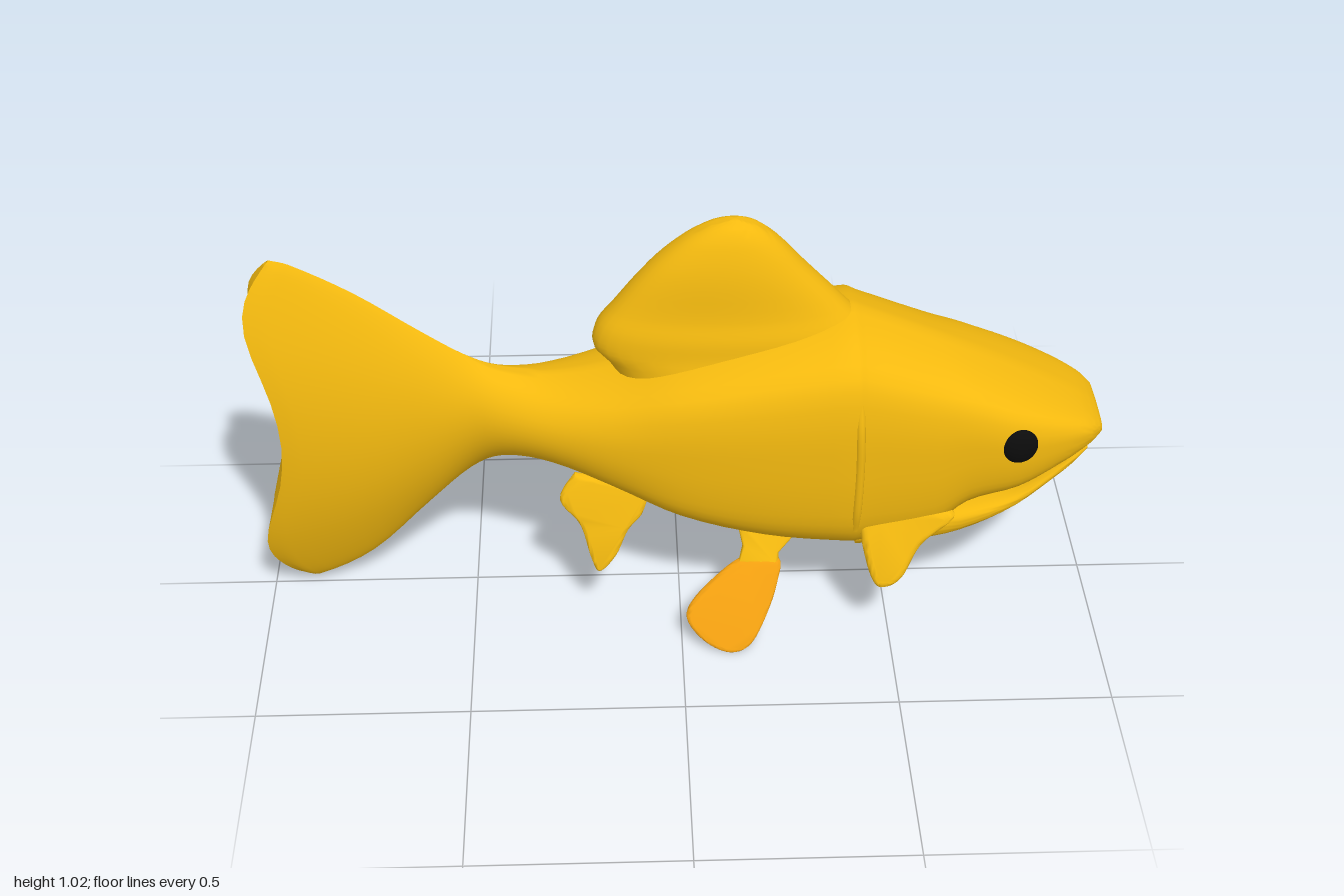
import * as THREE from 'three';
import { mergeVertices, toCreasedNormals } from 'three/addons/utils/BufferGeometryUtils.js';

const material = (color) => new THREE.MeshStandardMaterial({ color, side: THREE.DoubleSide });
const gold = material(0xf3b90f);
const orange = material(0xf2a010);
const black = material(0x0c0c0c);

function addMesh(parent, name, geometry, mat = gold) {
  const mesh = new THREE.Mesh(geometry, mat);
  mesh.name = name;
  parent.add(mesh);
  return mesh;
}

// Smooth interpolation of table rows [key, a, b, ...] at the given key
function sample(rows, x) {
  let i = 0;
  while (i < rows.length - 2 && x > rows[i + 1][0]) i++;
  const at = (n) => rows[Math.min(Math.max(n, 0), rows.length - 1)];
  const [p, a, b, q] = [at(i - 1), at(i), at(i + 1), at(i + 2)];
  const d = b[0] - a[0], t = (x - a[0]) / d;
  return a.map((v, n) => {
    if (n === 0) return x;
    const m0 = (b[n] - p[n]) / (b[0] - p[0]) * d;
    const m1 = (q[n] - a[n]) / (q[0] - a[0]) * d;
    return THREE.MathUtils.lerp(v, b[n], t * t * (3 - 2 * t))
      + t * (1 - t) * ((1 - t) * m0 - t * m1);
  });
}

// Every table row plus evenly spaced rows between neighbours
function refine(rows, steps) {
  const out = [];
  for (let i = 0; i < rows.length - 1; i++)
    for (let s = 0; s < steps; s++)
      out.push(sample(rows, THREE.MathUtils.lerp(rows[i][0], rows[i + 1][0], s / steps)));
  out.push(rows[rows.length - 1]);
  return out;
}

// Skin a list of closed rings and cap both ends around the given centres
function loft(rings, startCentre, endCentre, crease = 0.9) {
  const n = rings[0].length, last = (rings.length - 1) * n;
  const pos = [...rings.flat(), startCentre, endCentre].flat();
  const start = rings.length * n, end = start + 1, index = [];
  for (let j = 0; j < n; j++) {
    const k = (j + 1) % n;
    for (let i = 0; i < last; i += n)
      index.push(i + j, i + n + j, i + k, i + k, i + n + j, i + n + k);
    index.push(start, j, k, end, last + k, last + j);
  }
  const g = new THREE.BufferGeometry();
  g.setAttribute('position', new THREE.Float32BufferAttribute(pos, 3));
  g.setIndex(index);
  return toCreasedNormals(g, crease);
}

// Half cross-section, keel to back: (width fraction, height from -1 to 1)
const profile = new THREE.SplineCurve([
  [0, -1], [0.4, -0.95], [0.72, -0.87], [0.91, -0.68], [0.98, -0.38], [1, 0],
  [0.98, 0.4], [0.85, 0.74], [0.46, 0.92], [0, 1],
].map(([x, y]) => new THREE.Vector2(x, y))).getPoints(27);

// Ring at x; lens blends the boxy section to a lens, and bow curves the tail edge
function section([x, top, bottom, width, lens = 0, bow = 0]) {
  const half = profile.map((p) => {
    const h = THREE.MathUtils.clamp(p.y, -1, 1);
    const z = width * THREE.MathUtils.lerp(p.x, Math.pow(1 - h * h, 0.8), lens);
    const dx = -0.065 * bow * Math.sin(Math.PI * h * h);
    return [x + dx, (top + bottom) / 2 + h * (top - bottom) / 2, z];
  });
  return [...half, ...half.slice(1, -1).reverse().map(([px, y, z]) => [px, y, -z])];
}

// Flat fin with rounded edges that leans outward as it drops
function fin(points, thickness, topY, topZ, lean, curved = true) {
  const v = points.map(([x, y]) => new THREE.Vector2(x, y));
  const shape = new THREE.Shape(curved ? new THREE.SplineCurve([...v, v[0]]).getPoints(48).slice(0, -1) : v);
  let g = new THREE.ExtrudeGeometry(shape, {
    depth: 0.002, bevelEnabled: true, bevelThickness: thickness / 2,
    bevelSize: thickness / 2, bevelOffset: -thickness / 2, bevelSegments: 4,
  });
  const p = g.attributes.position;
  for (let i = 0; i < p.count; i++)
    p.setZ(i, p.getZ(i) + topZ + (topY - p.getY(i)) * lean);
  g.deleteAttribute('uv');
  g.deleteAttribute('normal');
  return toCreasedNormals(mergeVertices(g, 1e-4), 0.9);
}

export function createModel() {
  const fish = new THREE.Group();
  fish.name = 'fish';

  // Body and tail in one skin: x, top, bottom, half width, lens, bow
  const body = [
    [-0.935, 0.935, 0.035, 0.105, 1, 1], [-0.89, 0.922, 0.026, 0.106, 1, 0.8],
    [-0.75, 0.843, 0.1, 0.095, 1, 0.3], [-0.6, 0.735, 0.25, 0.075, 1, 0],
    [-0.5, 0.668, 0.345, 0.068, 1, 0], [-0.42, 0.633, 0.385, 0.088, 0.85, 0],
    [-0.3, 0.618, 0.388, 0.13, 0.5, 0], [-0.15, 0.645, 0.34, 0.18, 0.2, 0],
    [0, 0.7, 0.275, 0.215, 0, 0], [0.2, 0.755, 0.215, 0.234, 0, 0],
    [0.4, 0.79, 0.187, 0.235, 0, 0], [0.43, 0.78, 0.187, 0.227, 0, 0],
    [0.6, 0.71, 0.225, 0.21, 0, 0], [0.68, 0.675, 0.3, 0.205, 0, 0],
    [0.8, 0.62, 0.345, 0.195, 0, 0], [0.9, 0.57, 0.405, 0.165, 0, 0],
    [0.97, 0.53, 0.45, 0.128, 0, 0], [1, 0.505, 0.47, 0.095, 0, 0],
  ];
  addMesh(fish, 'body', loft(refine(body, 4).map(section), [-0.93, 0.48, 0], [1, 0.488, 0]));

  // Lower jaw, set just inside the upper lip
  const jaw = [
    [0.42, 0.3, 0.189, 0.17], [0.6, 0.32, 0.223, 0.19], [0.7, 0.33, 0.255, 0.183],
    [0.8, 0.35, 0.303, 0.162], [0.88, 0.4, 0.36, 0.142], [0.93, 0.44, 0.4, 0.13],
    [0.965, 0.462, 0.44, 0.118],
  ];
  addMesh(fish, 'lowerJaw', loft(refine(jaw, 3).map(section), [0.42, 0.245, 0], [0.965, 0.451, 0]));

  // Thick back fin stacked upward: y, rear x, front x, half width
  const back = [
    [0.6, -0.13, 0.44, 0.14], [0.66, -0.165, 0.45, 0.125], [0.7, -0.2, 0.45, 0.112],
    [0.75, -0.192, 0.435, 0.105], [0.8, -0.155, 0.39, 0.091], [0.9, -0.075, 0.295, 0.078],
    [0.97, 0, 0.232, 0.058], [1.01, 0.065, 0.182, 0.035], [1.025, 0.11, 0.145, 0.012],
  ];
  const backRings = refine(back, 4).map(([y, rear, front, w]) =>
    Array.from({ length: 40 }, (_, j) => {
      const a = j / 40 * Math.PI * 2, c = Math.cos(a), s = Math.sin(a);
      return [(rear + front) / 2 + c * (front - rear) / 2, y,
        w * Math.sign(s) * Math.pow(Math.abs(s), 0.8)];
    }));
  addMesh(fish, 'backFin', loft(backRings, [0.15, 0.6, 0], [0.128, 1.026, 0], 1.2));

  // Paired parts, built on the +z side and mirrored
  const pectoral = fin([[0.42, 0.32], [0.432, 0.24], [0.455, 0.17], [0.485, 0.158],
    [0.525, 0.18], [0.57, 0.25], [0.65, 0.315], [0.53, 0.34]], 0.034, 0.3, 0.19, 0.47);
  const pelvicBase = fin([[0.11, 0.3], [0.14, 0.245], [0.148, 0.215], [0.138, 0.182],
    [0.232, 0.172], [0.235, 0.2], [0.28, 0.24], [0.32, 0.27]], 0.018, 0.23, 0.15, 0.68, false);
  const pelvic = fin([[0.145, 0.19], [0.1, 0.165], [0.03, 0.11], [0.012, 0.07],
    [0.055, 0.025], [0.115, 0.003], [0.165, 0.02], [0.205, 0.08], [0.23, 0.14],
    [0.233, 0.188]], 0.019, 0.23, 0.15, 0.68);
  const rear = fin([[-0.25, 0.385], [-0.287, 0.325], [-0.24, 0.265], [-0.215, 0.185],
    [-0.195, 0.153], [-0.155, 0.19], [-0.125, 0.25], [-0.09, 0.29], [-0.085, 0.34],
    [-0.17, 0.37]], 0.022, 0.3, 0.118, 0.35);
  const ridge = new THREE.TubeGeometry(new THREE.CatmullRomCurve3([
    [0.41, 0.29, 0.205], [0.412, 0.35, 0.222], [0.414, 0.48, 0.229], [0.412, 0.58, 0.227],
    [0.41, 0.65, 0.21]].map((p) => new THREE.Vector3(...p))), 24, 0.011, 10);
  const eye = new THREE.SphereGeometry(1, 28, 18);

  for (const [label, side] of [['right', -1], ['left', 1]]) {
    const half = new THREE.Group();
    half.name = label === 'left' ? 'frontSideParts' : 'backSideParts';
    half.scale.z = side;
    addMesh(half, 'pectoralFin', pectoral);
    addMesh(half, 'pelvicFinBase', pelvicBase);
    addMesh(half, 'pelvicFin', pelvic, orange);
    addMesh(half, 'rearFin', rear);
    addMesh(half, 'gillRidge', ridge);
    const ball = addMesh(half, 'eye', eye, black);
    ball.position.set(0.79, 0.51, 0.19);
    ball.scale.set(0.043, 0.045, 0.02);
    ball.rotation.y = 0.12;
    fish.add(half);
  }
  return fish;
}
